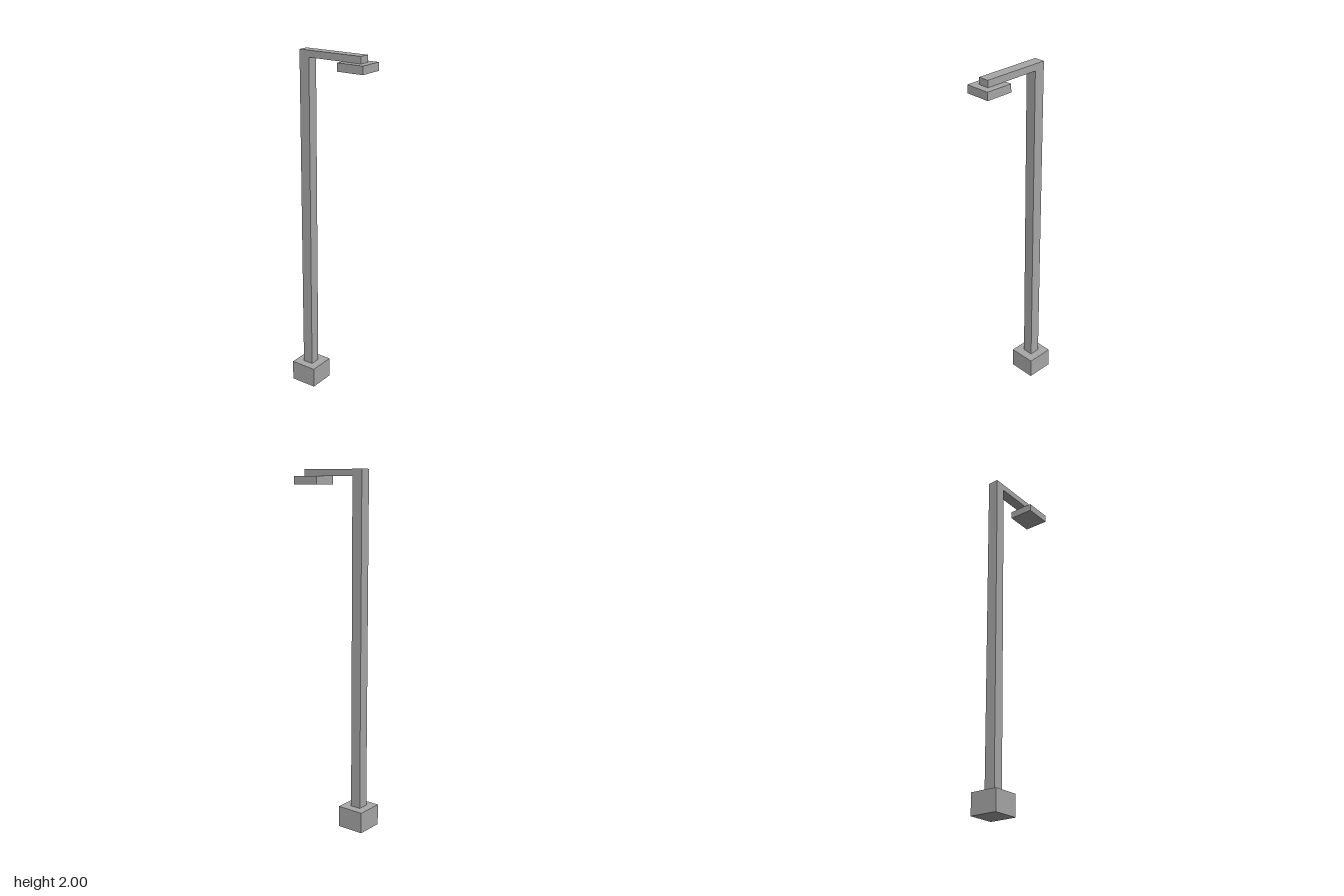
import * as THREE from 'three';

export function createModel() {
  const group = new THREE.Group();
  group.name = 'streetLamp';
  const grey = new THREE.MeshStandardMaterial({ color: 0xa8a8a8 });
  grey.name = 'grey';

  // Box given by its x and y ranges and its depth, centred on z = 0
  const addBox = (name, x0, x1, y0, y1, depth) => {
    const mesh = new THREE.Mesh(new THREE.BoxGeometry(x1 - x0, y1 - y0, depth), grey);
    mesh.position.set((x0 + x1) / 2, (y0 + y1) / 2, 0);
    mesh.name = name;
    group.add(mesh);
  };

  addBox('base', -0.24, -0.081, 0, 0.12, 0.159);
  addBox('post', -0.193, -0.131, 0.12, 1.962, 0.062);
  addBox('arm', -0.193, 0.199, 1.962, 2, 0.062);
  addBox('lampHead', 0.081, 0.24, 1.917, 1.962, 0.144);

  return group;
}
